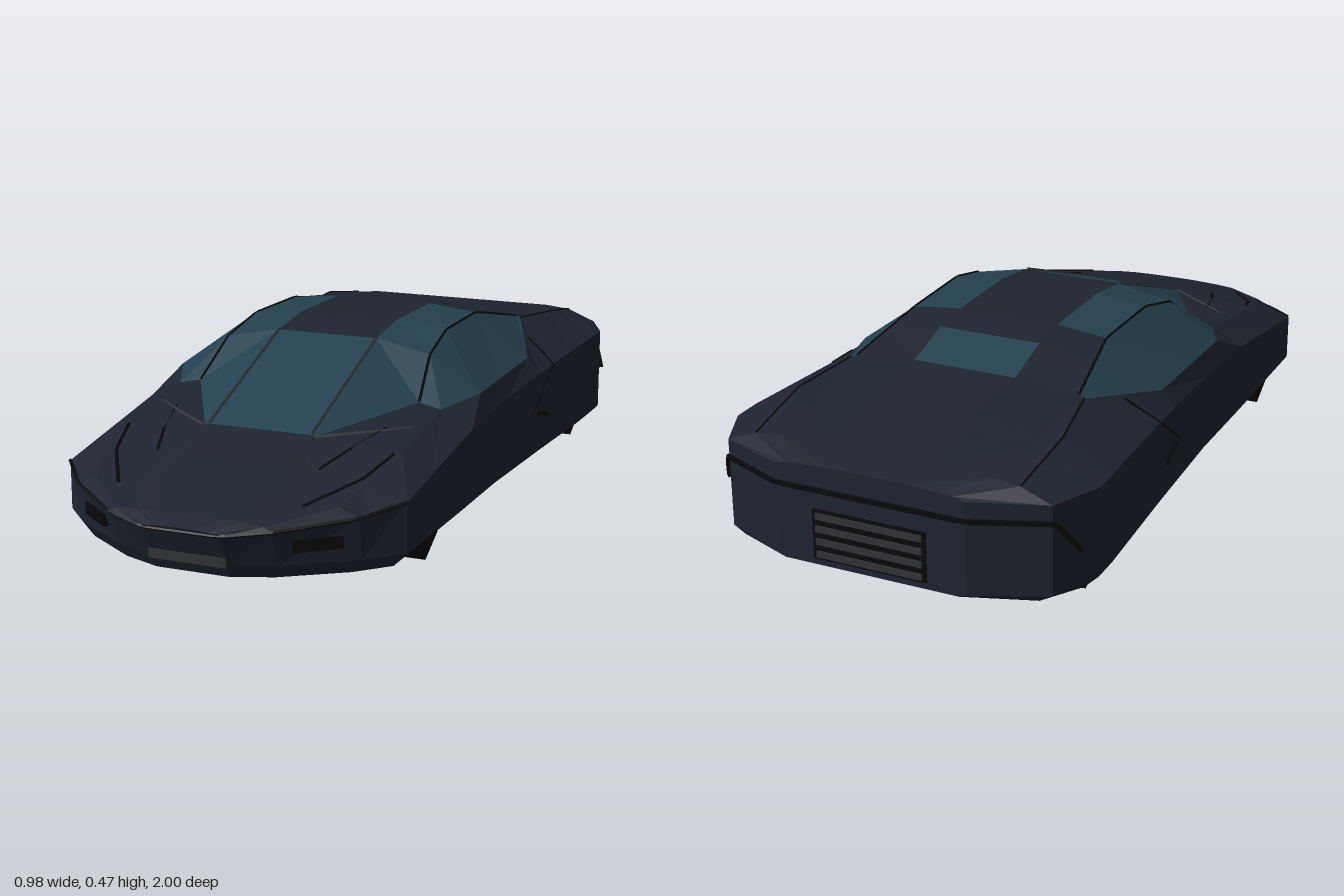
import * as THREE from 'three';

const mat = color => new THREE.MeshStandardMaterial({ color, flatShading: true });
const paint = mat(0x1e2430), glass = mat(0x24414f), under = mat(0x171717);
const black = mat(0x08090b), grey = mat(0x303336);

// Lengthwise lines of the left half, nose to tail, as z, x, y
const shoulderKeys = [[1, .10, .16], [.95, .21, .17], [.82, .37, .185], [.72, .45, .205], [.28, .455, .27],
  [0, .455, .285], [-.36, .47, .30], [-.7, .488, .31], [-.78, .488, .31], [-.91, .43, .31], [-.99, .25, .318]];
const beltKeys = [[1, .09, .166], [.95, .19, .182], [.82, .32, .208], [.57, .38, .275], [.28, .37, .312],
  [.15, .43, .33], [-.25, .43, .338], [-.5, .325, .393], [-.7, .36, .378], [-.91, .35, .342], [-.99, .22, .325]];
const roofEdgeKeys = [[1, .07, .168], [.95, .14, .186], [.82, .20, .218], [.57, .15, .292], [.28, .31, .325],
  [.15, .29, .42], [0, .28, .455], [-.25, .275, .453], [-.5, .31, .398], [-.91, .28, .349], [-.99, .18, .328]];
// Centre profile as z, y
const crownKeys = [[1, .17], [.95, .188], [.72, .255], [.57, .295], [.15, .45], [0, .47],
  [-.25, .468], [-.36, .456], [-.5, .415], [-.7, .392], [-.99, .332]];
const stations = [1, .95, .82, .72, .57, .28, .15, 0, -.25, -.36, -.5, -.7, -.78, -.91, -.99];

// Straight interpolation between keys
function along(keys, z) {
  let k = 0;
  while (k < keys.length - 2 && keys[k + 1][0] > z) k++;
  const a = keys[k], b = keys[k + 1], t = (a[0] - z) / (a[0] - b[0]);
  return a.slice(1).map((v, i) => THREE.MathUtils.lerp(v, b[i + 1], t));
}

// Each line gives x, y at a station
const shoulder = z => along(shoulderKeys, z);
const belt = z => along(beltKeys, z);
const roofEdge = z => along(roofEdgeKeys, z);
const crown = z => [Math.min(.14, .4 * shoulder(z)[0]), along(crownKeys, z)[0]];
const sill = z => [shoulder(z)[0], .08];
const floorEdge = z => [.925 * shoulder(z)[0], .045 + .15 * Math.max(0, -.8 - z)];
const lines = [floorEdge, sill, shoulder, belt, roofEdge, crown];

// The nose leans back towards its lower edge
const lean = (y, z) => z - .5 * Math.max(0, .17 - y) * Math.max(0, (z - .72) / .28);

function ring(z) {
  const half = lines.map(line => line(z));
  const pts = [[0, half[0][1]], ...half, [0, half[5][1]], ...half.slice().reverse().map(([x, y]) => [-x, y])];
  return pts.map(([x, y]) => [x, y, lean(y, z)]);
}

// Which panel a patch of the loft belongs to
function panel(k, band) {
  if (band === 0) return 'floor';
  const sideWindow = band === 4 && k >= 5 && k <= 9;
  const roofGlass = band === 5 && k >= 4 && k <= 7;
  const screens = band === 6 && (k === 4 || k === 5 || k === 9);
  return sideWindow || roofGlass || screens ? 'glass' : 'body';
}

function flatMesh(name, positions, material) {
  const g = new THREE.BufferGeometry();
  g.setAttribute('position', new THREE.Float32BufferAttribute(positions, 3));
  g.computeVertexNormals();
  const m = new THREE.Mesh(g, material);
  m.name = name;
  return m;
}

function addShell(group) {
  const out = { body: [], glass: [], floor: [] };
  const rings = stations.map(ring), n = rings[0].length;
  for (let k = 0; k < rings.length - 1; k++) {
    for (let i = 0; i < n; i++) {
      const j = (i + 1) % n;
      const [a, b, c, d] = [rings[k][i], rings[k][j], rings[k + 1][j], rings[k + 1][i]];
      const list = out[panel(k, Math.min(i, n - 1 - i))];
      // mirror the diagonal so both sides match
      if (i < n / 2) list.push(...a, ...d, ...c, ...a, ...c, ...b);
      else list.push(...b, ...a, ...d, ...b, ...d, ...c);
    }
  }
  // nose and tail caps
  const nose = rings[0], tail = rings[rings.length - 1];
  for (let i = 1; i < n - 1; i++) {
    out.body.push(...nose[0], ...nose[i], ...nose[i + 1]);
    out.body.push(...tail[0], ...tail[i + 1], ...tail[i]);
  }
  group.add(flatMesh('bodyShell', out.body, paint), flatMesh('windows', out.glass, glass),
    flatMesh('underbody', out.floor, under));
}

// Height of the bonnet at x, z
function heightAt(x, z) {
  const pts = [shoulder, belt, roofEdge, crown].map(line => line(z));
  const i = Math.max(0, pts.findIndex(p => p[0] < x) - 1);
  const [a, b] = [pts[i], pts[i + 1]];
  return THREE.MathUtils.lerp(a[1], b[1], (a[0] - x) / (a[0] - b[0]));
}

// Thin strip following straight segments
function strip(name, pts, radius, material) {
  const path = new THREE.CurvePath();
  const v = pts.map(p => new THREE.Vector3(...p));
  for (let i = 0; i < v.length - 1; i++) path.add(new THREE.LineCurve3(v[i], v[i + 1]));
  const m = new THREE.Mesh(new THREE.TubeGeometry(path, v.length * 5, radius, 4), material);
  m.name = name;
  return m;
}

function box(name, size, pos, material) {
  const m = new THREE.Mesh(new THREE.BoxGeometry(...size), material);
  m.name = name;
  m.position.set(...pos);
  return m;
}

// Points on one lengthwise line between two stations
const rail = (line, from, to, side) => stations.slice(from, to + 1).map(z => {
  const [x, y] = line(z);
  return [side * x, y, lean(y, z)];
});

export function createModel() {
  const car = new THREE.Group();
  car.name = 'car';
  addShell(car);

  for (const side of [1, -1]) {
    const tag = side > 0 ? 'left' : 'right';
    const onTop = pts => pts.map(([x, z]) => [side * x, heightAt(x, z), z]);
    const flip = pts => pts.map(([x, y, z]) => [side * x, y, z]);

    // six-sided wheels, mostly hidden in the body, one corner on the ground
    for (const [end, z] of [['Front', .53], ['Rear', -.71]]) {
      const wheel = new THREE.Mesh(new THREE.CylinderGeometry(.1, .1, .14, 6), black);
      wheel.name = tag + end + 'Wheel';
      wheel.geometry.rotateY(Math.PI / 2);
      wheel.rotation.z = Math.PI / 2;
      wheel.position.set(side * .355, .1, z);
      car.add(wheel);
    }

    // window frames
    car.add(strip(tag + 'RoofRail', rail(roofEdge, 5, 10, side), .004, black));
    car.add(strip(tag + 'WindscreenBar', rail(crown, 4, 6, side), .005, grey));

    // bonnet creases, headlight and cowl
    car.add(strip(tag + 'BonnetCrease', onTop([[.29, .45], [.25, .6], [.215, .7]]), .004, black));
    car.add(strip(tag + 'Headlight', onTop([[.36, .58], [.33, .7], [.24, .85]]), .005, black));
    car.add(strip(tag + 'Cowl', onTop([[.15, .575], [.25, .5], [.35, .42]]), .005, grey));

    // side intake and seams
    car.add(strip(tag + 'SideIntake', flip([[.463, .19, -.23], [.47, .165, -.32]]), .007, black));
    car.add(strip(tag + 'DoorSeam', flip([[.463, .19, -.2], [.468, .26, -.3], [.47, .30, -.36],
      [.385, .362, -.39]]), .003, black));
    car.add(strip(tag + 'RearDeckSeam', rail(belt, 10, 13, side), .003, black));

    // front air intake
    const intake = box(tag + 'FrontIntake', [.12, .03, .012], [side * .29, .13, .872], black);
    intake.rotation.y = side * .68;
    car.add(intake);
  }

  // line around the nose
  car.add(strip('noseLine', [...rail(shoulder, 0, 3, -1).reverse(), ...rail(shoulder, 0, 3, 1)], .005, black));
  car.add(box('frontPlate', [.2, .03, .012], [0, .09, .959], grey));

  // light bar wrapped around the tail
  const bar = [[.475, .18, -.85], [.435, .265, -.908], [.25, .27, -.992]];
  const mirrored = bar.map(([x, y, z]) => [-x, y, z]).reverse();
  car.add(strip('tailLightBar', [...bar, ...mirrored], .008, black));

  // rear grille with slats
  car.add(box('rearGrille', [.30, .13, .008], [0, .155, -.99], black));
  for (let i = 0; i < 4; i++) car.add(box('rearSlat', [.28, .016, .01], [0, .105 + i * .033, -.994], grey));
  return car;
}
